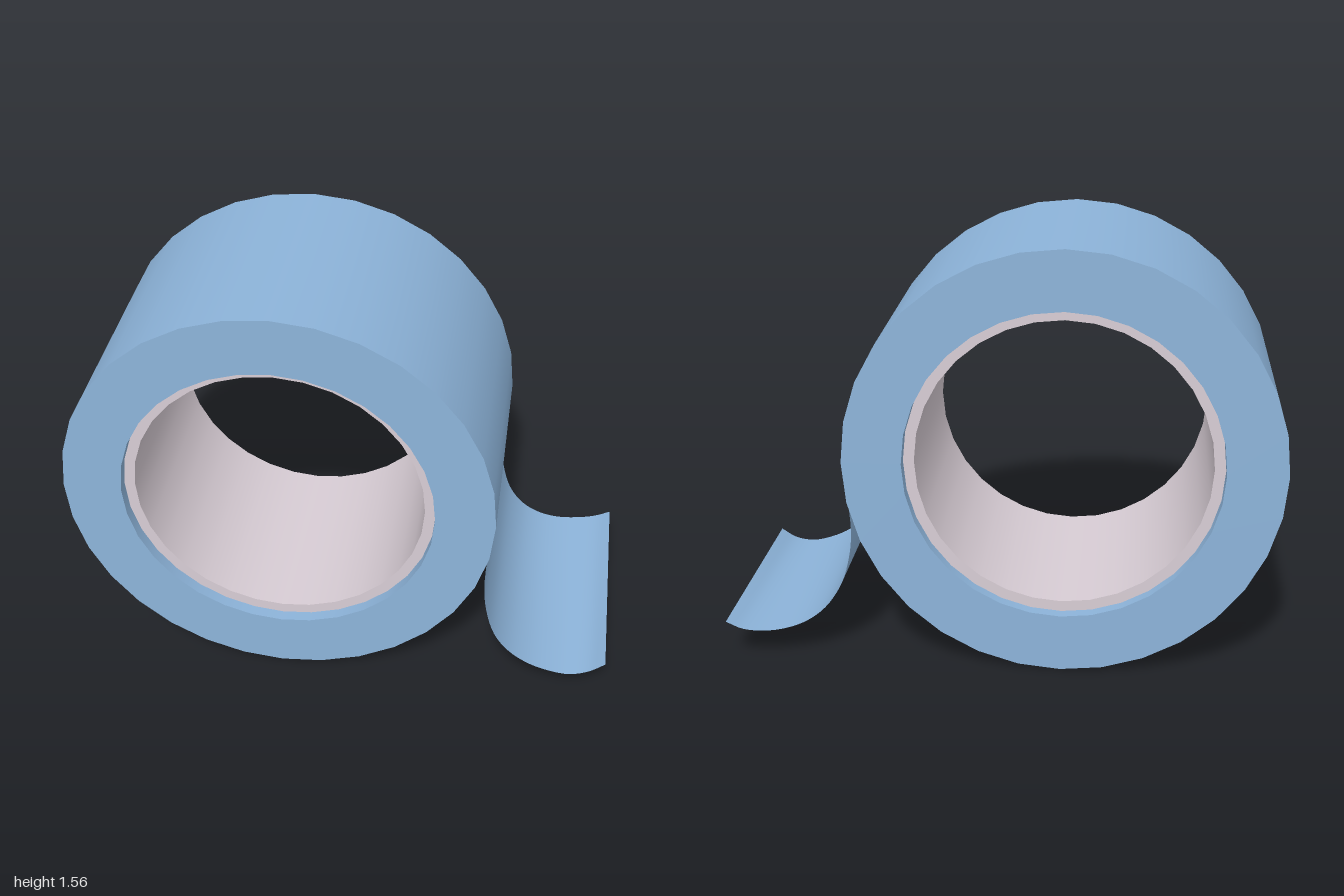
import * as THREE from 'three';
import { mergeGeometries } from 'three/addons/utils/BufferGeometryUtils.js';

const SEGMENTS = 32;

// Hollow cylinder along z: smooth walls, sharp rims
function ring(outer, inner, half) {
  const profile = [[outer, -half], [outer, half], [inner, half], [inner, -half]]
    .map(([r, y]) => new THREE.Vector2(r, y));
  const sides = profile.map((p, i) =>
    new THREE.LatheGeometry([p, profile[(i + 1) % 4]], SEGMENTS));
  return mergeGeometries(sides).rotateX(Math.PI / 2);
}

// Smooth edge curve of the loose end
const edge = (points) => new THREE.CatmullRomCurve3(
  points.map(([x, y, z]) => new THREE.Vector3(x, y, z)));

// Thin sheet ruled between two edge curves
function sheet(front, back, steps, across) {
  const geometry = new THREE.PlaneGeometry(1, 1, across, steps);
  const pos = geometry.attributes.position;
  for (let j = 0; j <= steps; j++) {
    const a = front.getPoint(j / steps);
    const b = back.getPoint(j / steps);
    for (let i = 0; i <= across; i++) {
      const p = b.clone().lerp(a, i / across);
      pos.setXYZ(j * (across + 1) + i, p.x, p.y, p.z);
    }
  }
  geometry.computeVertexNormals();
  return geometry;
}

export function createModel() {
  const model = new THREE.Group();
  const tapeBlue = new THREE.MeshStandardMaterial({ color: 0x8db4da, side: THREE.DoubleSide });
  tapeBlue.name = 'tapeBlue';
  const coreGrey = new THREE.MeshStandardMaterial({ color: 0xd8cdd5 });
  coreGrey.name = 'coreGrey';

  const add = (name, geometry, material) => {
    const mesh = new THREE.Mesh(geometry, material);
    mesh.name = name;
    model.add(mesh);
    return mesh;
  };

  // Wound tape and the slightly recessed cardboard core
  add('tapeRoll', ring(0.778, 0.565, 0.427), tapeBlue).position.set(-0.222, 0.779, 0);
  add('core', ring(0.564, 0.525, 0.385), coreGrey).position.set(-0.222, 0.779, 0);

  // Loose end, peeling off the side and curling up, slightly twisted
  const front = edge([
    [0.533, 0.61, 0.427], [0.531, 0.5, 0.442], [0.545, 0.4, 0.455], [0.58, 0.29, 0.459],
    [0.64, 0.2, 0.451], [0.715, 0.138, 0.441], [0.79, 0.104, 0.433], [0.87, 0.088, 0.425],
    [0.94, 0.103, 0.415], [0.998, 0.142, 0.408],
  ]);
  const back = edge([
    [0.533, 0.61, -0.427], [0.532, 0.5, -0.412], [0.546, 0.4, -0.4], [0.58, 0.29, -0.394],
    [0.64, 0.2, -0.404], [0.71, 0.148, -0.417], [0.785, 0.122, -0.43], [0.86, 0.115, -0.444],
    [0.94, 0.125, -0.455], [1.0, 0.152, -0.458],
  ]);
  add('looseEnd', sheet(front, back, 36, 4), tapeBlue);

  return model;
}
